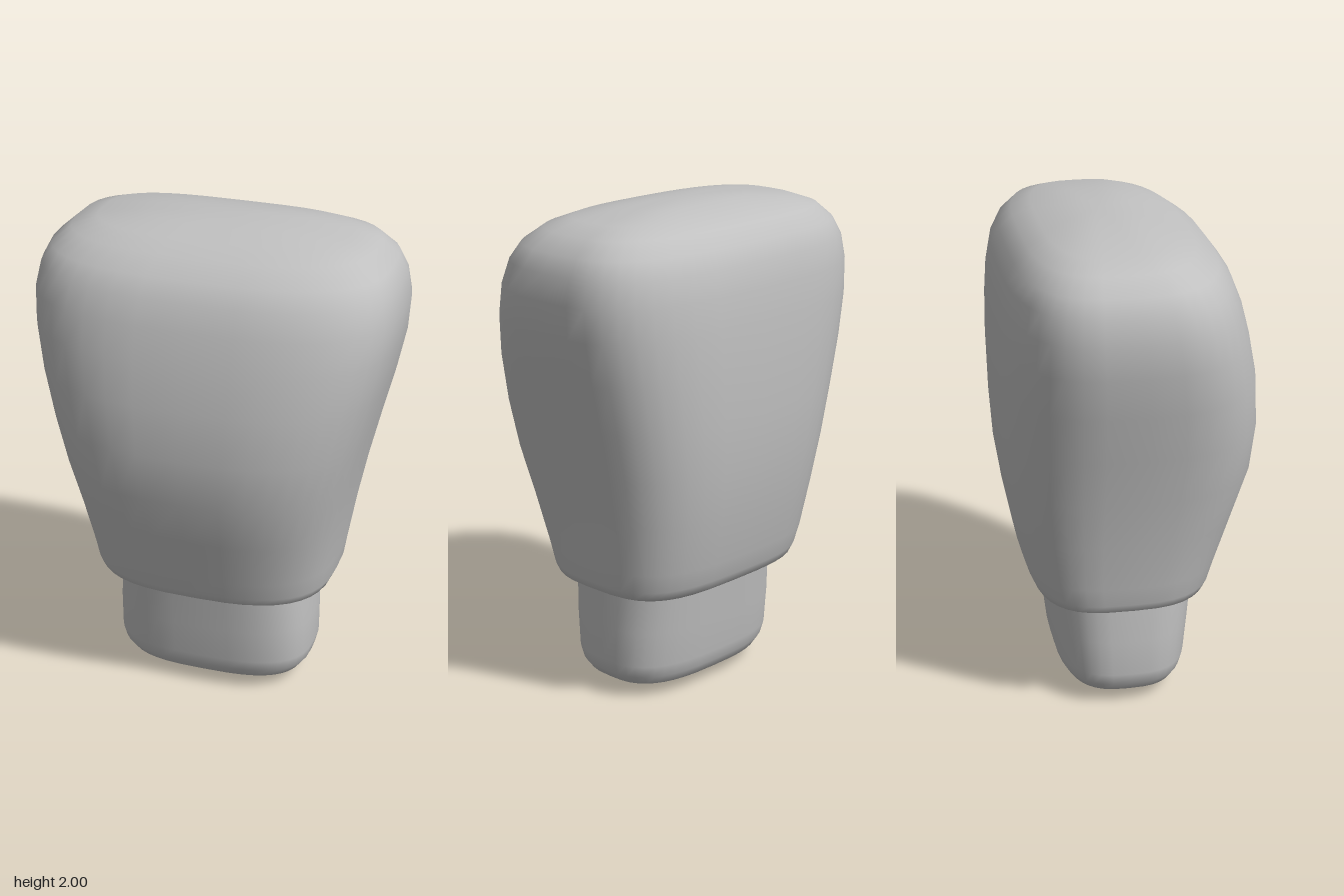
import * as THREE from 'three';
import { mergeVertices } from 'three/addons/utils/BufferGeometryUtils.js';

const SEGMENTS = 40;

// Lofts rounded-rectangle rings, bottom to top.
// Each row: [y, half width, front z, back z]; powers set how square the front and back corners are.
function loft(rows, frontPower, backPower) {
  const positions = [], index = [];
  rows.forEach(([y, w, front, back]) => {
    const mid = (front + back) / 2, depth = (front - back) / 2;
    for (let i = 0; i < SEGMENTS; i++) {
      const a = (i / SEGMENTS) * Math.PI * 2;
      const c = Math.cos(a), s = Math.sin(a);
      const e = 2 / (s > 0 ? frontPower : backPower);
      positions.push(
        w * Math.sign(c) * Math.abs(c) ** e,
        y,
        mid + depth * Math.sign(s) * Math.abs(s) ** e
      );
    }
  });
  for (let r = 0; r < rows.length - 1; r++) {
    for (let i = 0; i < SEGMENTS; i++) {
      const j = (i + 1) % SEGMENTS;
      const a = r * SEGMENTS + i, b = r * SEGMENTS + j;
      const c = a + SEGMENTS, d = b + SEGMENTS;
      index.push(a, c, b, b, c, d);
    }
  }
  const geometry = new THREE.BufferGeometry();
  geometry.setAttribute('position', new THREE.Float32BufferAttribute(positions, 3));
  geometry.setIndex(index);
  const merged = mergeVertices(geometry, 1e-4); // joins the pole points
  merged.computeVertexNormals();
  return merged;
}

export function createModel() {
  const group = new THREE.Group();
  const grey = new THREE.MeshStandardMaterial({ color: 0xc0c0c0 });
  grey.name = 'grey';

  // Wide padded upper body, flaring towards a rounded top
  const body = new THREE.Mesh(loft([
    [0.46, 0, -0.03, -0.03],
    [0.46, 0.38, 0.25, -0.31],
    [0.465, 0.45, 0.3, -0.36],
    [0.485, 0.487, 0.33, -0.39],
    [0.52, 0.503, 0.345, -0.405],
    [0.6, 0.515, 0.37, -0.43],
    [0.8, 0.55, 0.435, -0.47],
    [1.0, 0.592, 0.497, -0.5],
    [1.2, 0.64, 0.515, -0.512],
    [1.4, 0.69, 0.5, -0.515],
    [1.57, 0.725, 0.465, -0.51],
    [1.7, 0.733, 0.43, -0.5],
    [1.8, 0.715, 0.39, -0.482],
    [1.87, 0.68, 0.338, -0.45],
    [1.93, 0.61, 0.255, -0.395],
    [1.965, 0.51, 0.165, -0.32],
    [1.99, 0.31, 0.06, -0.22],
    [1.998, 0.15, -0.01, -0.15],
    [2.0, 0, -0.08, -0.08],
  ], 2.8, 3.3), grey);
  body.name = 'paddedBody';

  // Narrower neck below it, with a softly rounded underside
  const neck = new THREE.Mesh(loft([
    [0, 0, -0.04, -0.04],
    [0.01, 0.17, 0.06, -0.13],
    [0.03, 0.3, 0.15, -0.21],
    [0.06, 0.375, 0.205, -0.262],
    [0.1, 0.405, 0.228, -0.285],
    [0.15, 0.417, 0.242, -0.298],
    [0.3, 0.416, 0.258, -0.316],
    [0.48, 0.402, 0.277, -0.336],
  ], 2.9, 2.9), grey);
  neck.name = 'neck';

  group.add(body, neck);
  return group;
}
